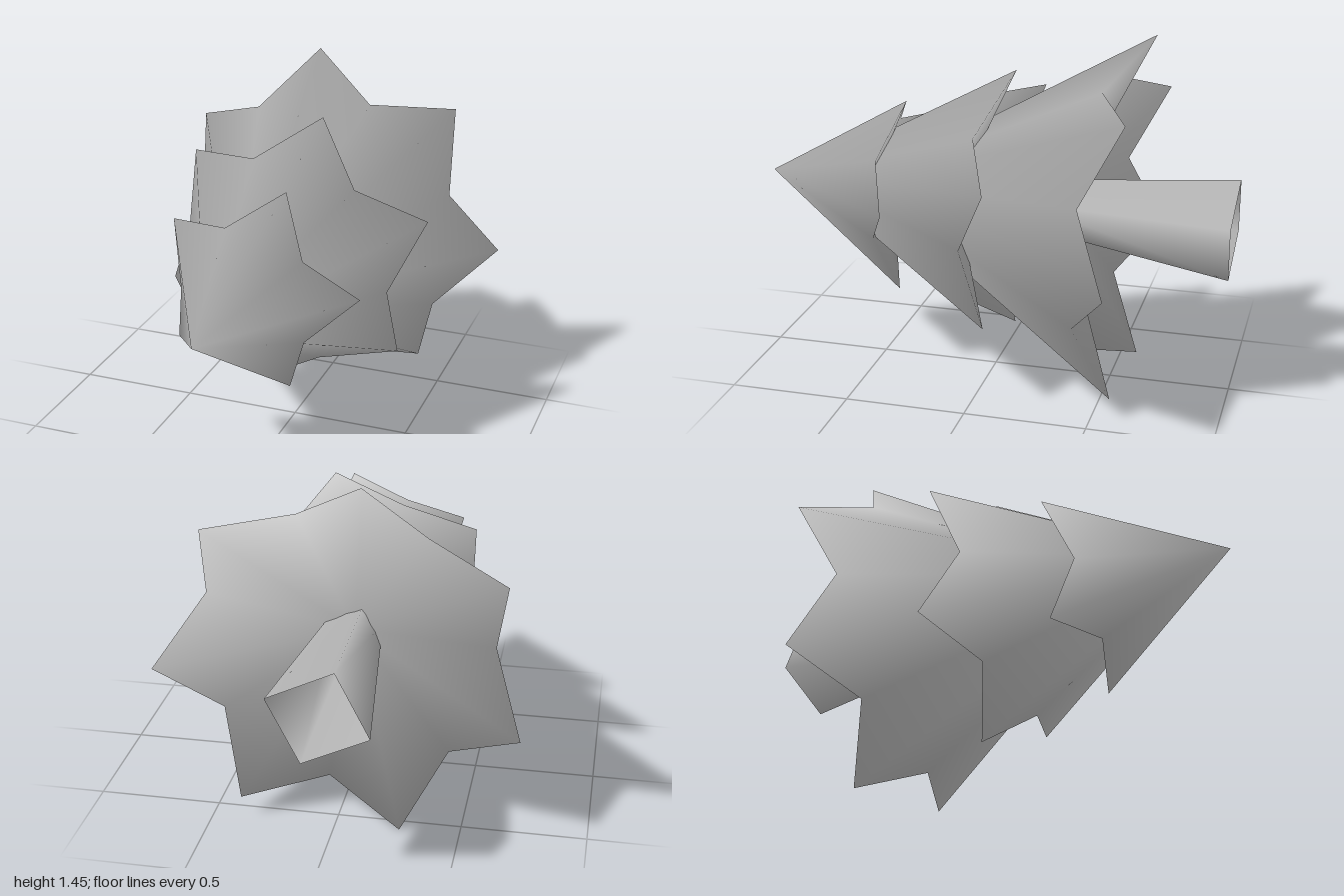
import * as THREE from 'three';

// Double-sided because the trunk is an open tube
const leafGrey = new THREE.MeshStandardMaterial({ color: 0xc0c0c0, side: THREE.DoubleSide });
leafGrey.name = 'plain grey';

// Star-rimmed cone along z: apex in front, hollow underside behind, soft shading over the rim
function tierGeometry({ points, start, outer, inner, tipZ, notchZ, apexZ, hollowZ }) {
  const verts = [new THREE.Vector3(0, 0, apexZ), new THREE.Vector3(0, 0, hollowZ)];
  const count = points * 2;
  for (let i = 0; i < count; i++) {
    const a = THREE.MathUtils.degToRad(start) + (i * Math.PI) / points;
    const r = i % 2 ? inner : outer;
    verts.push(new THREE.Vector3(r * Math.cos(a), r * Math.sin(a), i % 2 ? notchZ : tipZ));
  }
  const index = [];
  for (let i = 0; i < count; i++) {
    const a = 2 + i, b = 2 + ((i + 1) % count);
    index.push(0, a, b, 1, b, a);
  }
  // Each face counts by its corner angle in the averaged normals
  const normals = verts.map(() => new THREE.Vector3());
  const tri = new THREE.Triangle(), n = new THREE.Vector3();
  for (let i = 0; i < index.length; i += 3) {
    const face = index.slice(i, i + 3);
    tri.set(...face.map((k) => verts[k])).getNormal(n);
    face.forEach((k, j) => {
      const toNext = verts[face[(j + 1) % 3]].clone().sub(verts[k]);
      const toLast = verts[face[(j + 2) % 3]].clone().sub(verts[k]);
      normals[k].addScaledVector(n, toNext.angleTo(toLast));
    });
  }
  const flat = (list) => new THREE.Float32BufferAttribute(list.flatMap((v) => v.toArray()), 3);
  const geometry = new THREE.BufferGeometry();
  geometry.setAttribute('position', flat(verts));
  geometry.setAttribute('normal', flat(normals.map((v) => v.normalize())));
  geometry.setIndex(index);
  return geometry;
}

export function createModel() {
  const model = new THREE.Group();
  model.name = 'pineTree';

  // The tree lies along z, slightly tilted
  const tree = new THREE.Group();
  tree.name = 'tree';
  tree.position.set(-0.023, 0.744, 0);
  tree.rotation.x = -0.046;
  model.add(tree);

  const add = (name, geometry) => {
    const mesh = new THREE.Mesh(geometry, leafGrey);
    mesh.name = name;
    tree.add(mesh);
  };

  // Branch tiers, from the crown to the base
  add('topBranches', tierGeometry({
    points: 5, start: 2, outer: 0.43, inner: 0.285,
    tipZ: 0.37, notchZ: 0.463, apexZ: 1, hollowZ: 0.55,
  }));
  add('middleBranches', tierGeometry({
    points: 6, start: 20, outer: 0.6, inner: 0.445,
    tipZ: -0.08, notchZ: 0.04, apexZ: 0.88, hollowZ: 0.18,
  }));
  add('lowerBranches', tierGeometry({
    points: 7, start: -5.5, outer: 0.75, inner: 0.59,
    tipZ: -0.6, notchZ: -0.445, apexZ: 0.6, hollowZ: -0.27,
  }));

  // Open four-sided trunk, flaring towards the foot
  const trunk = new THREE.CylinderGeometry(0.1, 0.205, 0.84, 4, 1, true);
  trunk.rotateX(Math.PI / 2).rotateZ(THREE.MathUtils.degToRad(19)).translate(0, 0, -0.57);
  add('trunk', trunk);

  return model;
}
